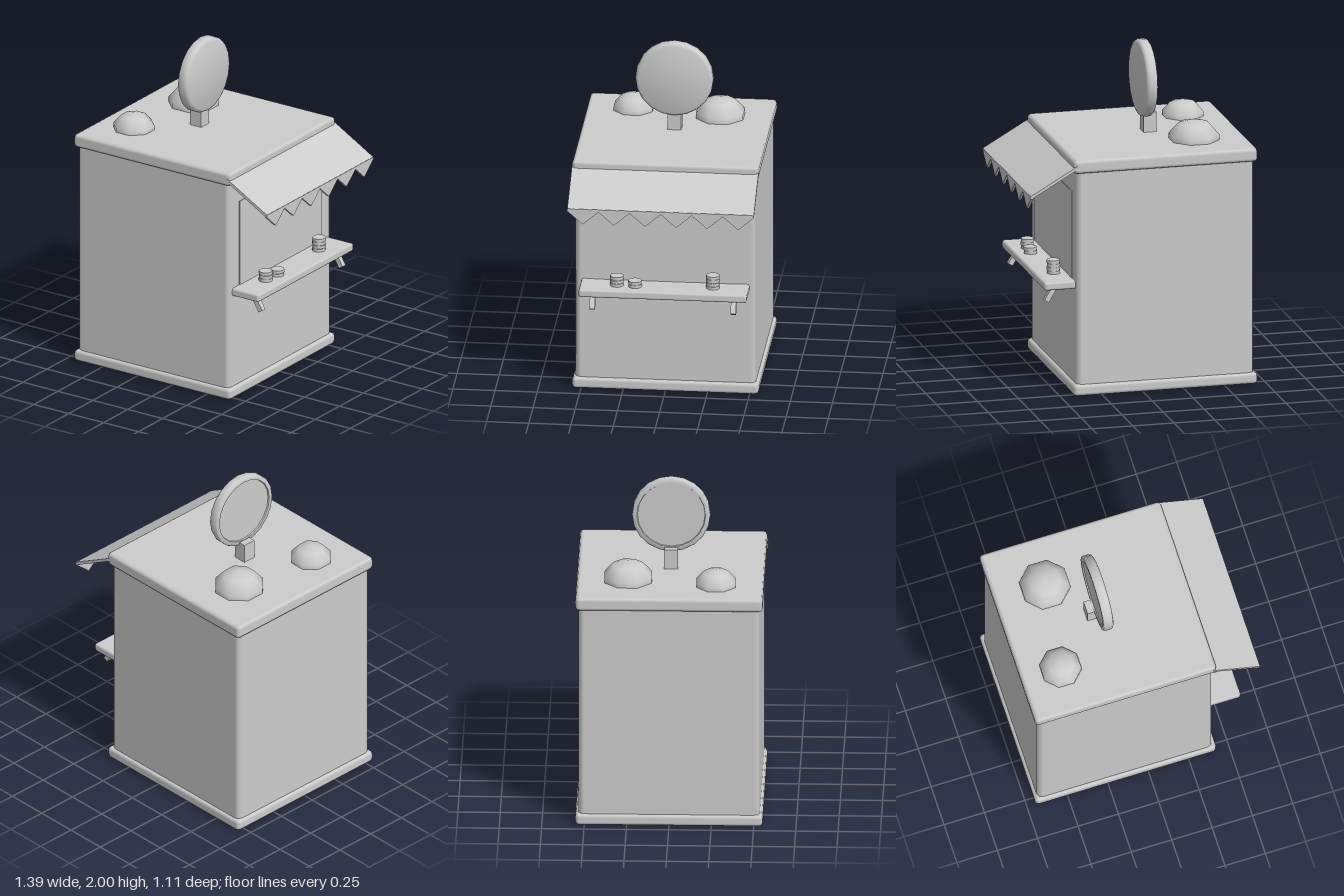
import * as THREE from 'three';
import { RoundedBoxGeometry } from 'three/addons/geometries/RoundedBoxGeometry.js';
import { toCreasedNormals } from 'three/addons/utils/BufferGeometryUtils.js';

export function createModel() {
  const group = new THREE.Group();
  const grey = new THREE.MeshStandardMaterial({ color: 0xcccccc });
  grey.name = 'plain grey';

  function add(name, geometry, x = 0, y = 0, z = 0) {
    const mesh = new THREE.Mesh(geometry, grey);
    mesh.name = name;
    mesh.position.set(x, y, z);
    group.add(mesh);
    return mesh;
  }

  // Box given by its limits, with chamfered edges when bevel > 0
  function block(name, [x0, x1], [y0, y1], [z0, z1], bevel = 0) {
    const size = [x1 - x0, y1 - y0, z1 - z0];
    const geometry = bevel
      ? new RoundedBoxGeometry(...size, 1, bevel)
      : new THREE.BoxGeometry(...size);
    return add(name, geometry, (x0 + x1) / 2, (y0 + y1) / 2, (z0 + z1) / 2);
  }

  // Slanted bar in the x-y plane between two points
  function bar(name, [x0, y0], [x1, y1], thickness, width, z = 0) {
    const length = Math.hypot(x1 - x0, y1 - y0);
    const mesh = add(name, new THREE.BoxGeometry(length, thickness, width),
      (x0 + x1) / 2, (y0 + y1) / 2, z);
    mesh.rotation.z = Math.atan2(y1 - y0, x1 - x0);
    return mesh;
  }

  // Booth
  block('base', [-0.698, 0.423], [0, 0.07], [-0.553, 0.553], 0.022);
  block('body', [-0.68, 0.403], [0.04, 1.39], [-0.535, 0.535], 0.032);
  block('roof', [-0.698, 0.423], [1.36, 1.443], [-0.553, 0.553], 0.022);
  block('servingWindow', [0.39, 0.408], [0.66, 1.227], [-0.425, 0.425]);

  // Counter with a bracket under each end
  block('counter', [0.38, 0.59], [0.645, 0.695], [-0.498, 0.498], 0.014);
  for (const side of [1, -1]) {
    bar('counterBracket', [0.50, 0.665], [0.561, 0.563], 0.031, 0.032, side * 0.418);
  }

  // Stacks of discs on the counter
  const stacks = [
    { x: 0.49, z: 0.278, count: 3 },
    { x: 0.50, z: 0.17, count: 2 },
    { x: 0.48, z: -0.29, count: 4 },
  ];
  for (const { x, z, count } of stacks) {
    for (let i = 0; i < count; i++) {
      const disc = toCreasedNormals(new THREE.CylinderGeometry(0.04, 0.04, 0.018, 12), 0.8);
      add('stackedDisc', disc, x + (i % 2) * 0.003, 0.704 + i * 0.0215, z);
      if (i) add('stackGap', new THREE.CylinderGeometry(0.036, 0.036, 0.006, 12), x, 0.693 + i * 0.0215, z);
    }
  }

  // Awning and its zigzag valance
  bar('awning', [0.40, 1.402], [0.685, 1.239], 0.018, 1.106);
  const teeth = 6, half = 0.553, pitch = (2 * half) / teeth;
  const zigzag = new THREE.Shape();
  zigzag.moveTo(half, 1.245);
  zigzag.lineTo(-half, 1.245);
  zigzag.lineTo(-half, 1.23);
  for (let i = 0; i < teeth; i++) {
    zigzag.lineTo(-half + (i + 0.5) * pitch, 1.15);
    zigzag.lineTo(-half + (i + 1) * pitch, 1.23);
  }
  const valance = add('valance',
    new THREE.ExtrudeGeometry(zigzag, { depth: 0.016, bevelEnabled: false }), 0.674);
  valance.rotation.y = Math.PI / 2;

  // Low faceted domes on the roof
  const domes = [
    { x: -0.387, z: -0.248, radius: 0.159, height: 0.13, top: 1.565 },
    { x: -0.456, z: 0.272, radius: 0.131, height: 0.108, top: 1.543 },
  ];
  for (const { x, z, radius, height, top } of domes) {
    const dome = add('roofDome', new THREE.SphereGeometry(1, 8, 5), x, top - height, z);
    dome.scale.set(radius, height, radius);
    dome.rotation.y = Math.PI / 8;
  }

  // Round sign on a post, rounded in front and slightly recessed behind
  block('signPost', [-0.214, -0.135], [1.43, 1.563], [-0.04, 0.04]);
  const profile = [
    [0, -0.024], [0.2, -0.024], [0.203, -0.032], [0.226, -0.032], [0.231, -0.026],
    [0.231, 0.012], [0.225, 0.026], [0.211, 0.032], [0, 0.032],
  ].map(([r, h]) => new THREE.Vector2(r, h));
  const sign = add('roundSign',
    toCreasedNormals(new THREE.LatheGeometry(profile, 20), 0.9), -0.14, 1.769, 0);
  sign.rotation.z = -Math.PI / 2;

  return group;
}
